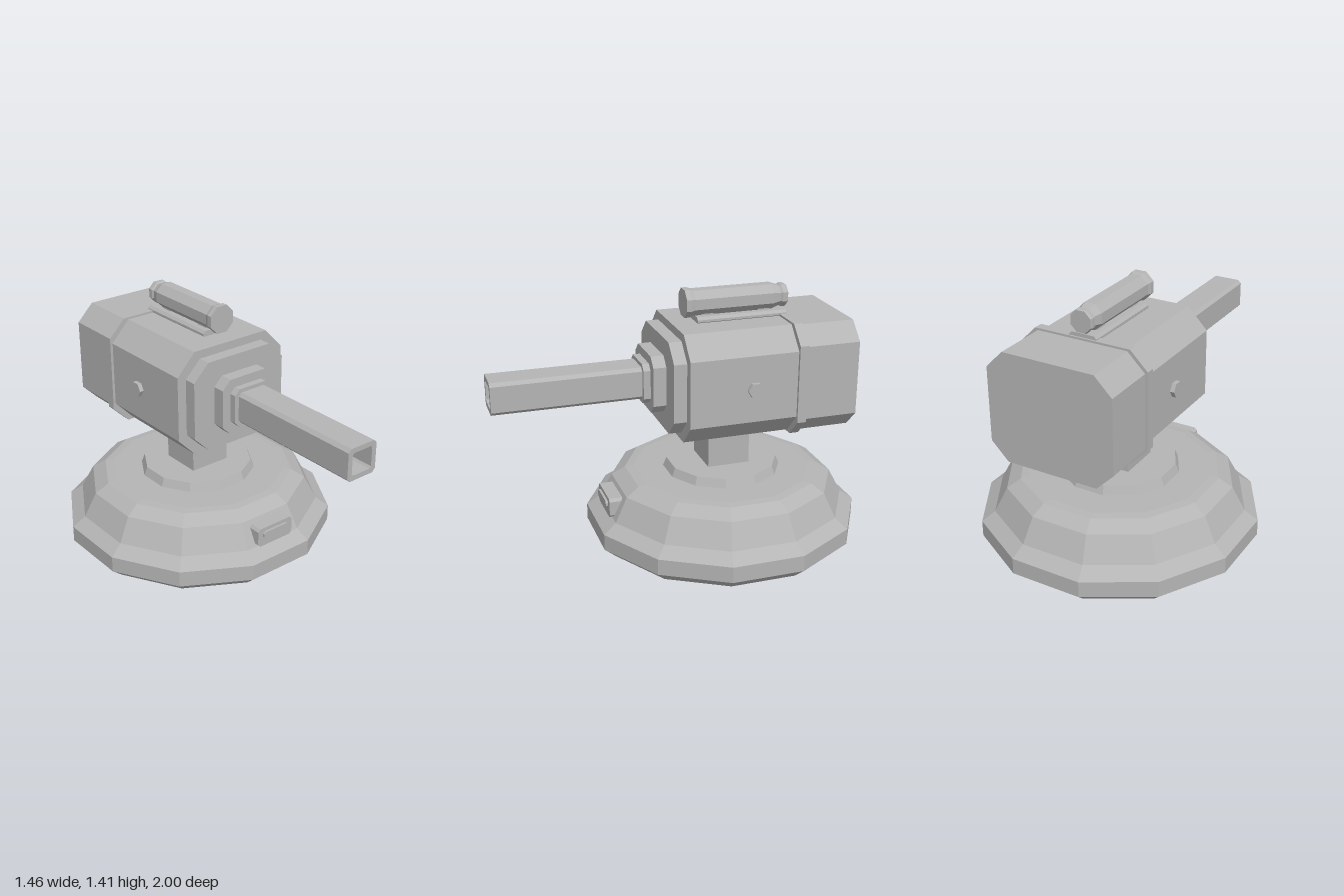
import * as THREE from 'three';

const CY = 0.945; // height of the gun axis
const BASE_Z = -0.27; // centre of the base

// Rectangle outline with cut corners
function cutRect(Path, w, h, c, cy = c) {
  const p = new Path();
  p.moveTo(w - c, -h);
  p.lineTo(w, -h + cy);
  p.lineTo(w, h - cy);
  p.lineTo(w - c, h);
  p.lineTo(-w + c, h);
  p.lineTo(-w, h - cy);
  p.lineTo(-w, -h + cy);
  p.lineTo(-w + c, -h);
  p.closePath();
  return p;
}

export function createModel() {
  const root = new THREE.Group();
  root.name = 'turret';
  const grey = new THREE.MeshStandardMaterial({ color: 0xb4b4b4, flatShading: true });
  grey.name = 'grey';

  function add(name, geometry, x = 0, y = 0, z = 0, parent = root) {
    const mesh = new THREE.Mesh(geometry, grey);
    mesh.name = name;
    mesh.position.set(x, y, z);
    parent.add(mesh);
    return mesh;
  }

  // Cut-corner prism running from z0 to z1, with half sizes w and h
  function prism(name, w, h, c, z0, z1, y = CY, cy = c, hole = null) {
    const shape = cutRect(THREE.Shape, w, h, c, cy);
    if (hole) shape.holes.push(hole);
    const g = new THREE.ExtrudeGeometry(shape, { depth: z1 - z0, bevelEnabled: false });
    return add(name, g, 0, y, z0);
  }

  // Faceted turned part; radii are measured to the flats
  function turned(points, sides) {
    const k = 1 / Math.cos(Math.PI / sides);
    const pts = points.map(([r, y]) => new THREE.Vector2(r * k, y));
    return new THREE.LatheGeometry(pts, sides, Math.PI / sides);
  }

  // Twelve-sided base with its raised disc
  add('base', turned([
    [0, 0], [0.66, 0], [0.73, 0.063], [0.73, 0.152], [0.66, 0.203],
    [0.592, 0.335], [0.52, 0.38], [0.475, 0.385], [0, 0.385],
  ], 12), 0, 0, BASE_Z);
  add('baseDisc', turned([[0.315, 0.38], [0.295, 0.432], [0, 0.432]], 12), 0, 0, BASE_Z);

  // Front panel on the base
  prism('basePanel', 0.118, 0.054, 0.015, 0.3, 0.407, 0.26);
  prism('panelBar', 0.085, 0.021, 0.012, 0.4, 0.42, 0.272);

  // Post
  add('post', new THREE.BoxGeometry(0.238, 0.24, 0.235), 0, 0.545, BASE_Z);

  // Gun body, rear housing and stepped front collars
  prism('body', 0.347, 0.295, 0.11, -0.57, 0.03, CY, 0.115);
  prism('bodyBand', 0.362, 0.306, 0.095, -0.61, -0.56);
  prism('rearHousing', 0.347, 0.295, 0.095, -0.905, -0.6);
  prism('frontCollarLarge', 0.295, 0.25, 0.092, 0.02, 0.1);
  prism('frontCollarMiddle', 0.166, 0.155, 0.05, 0.09, 0.17);
  prism('frontCollarSmall', 0.116, 0.107, 0.03, 0.16, 0.208);

  // Hollow barrel
  prism('barrel', 0.092, 0.087, 0.018, 0.2, 1, CY, 0.018,
    cutRect(THREE.Path, 0.064, 0.06, 0.01));

  // Hexagonal bolts on both sides
  for (const s of [1, -1]) {
    const g = new THREE.CylinderGeometry(0.042, 0.042, 0.04, 6);
    g.rotateZ(Math.PI / 2);
    add(s > 0 ? 'leftBolt' : 'rightBolt', g, s * 0.35, CY, -0.32);
  }

  // Sight rail, feet and eight-sided sight tube
  prism('sightRail', 0.077, 0.02, 0.014, -0.6, -0.1, 1.25);
  for (const z of [-0.17, -0.485]) {
    add('sightFoot', new THREE.BoxGeometry(0.07, 0.04, 0.07), 0, 1.275, z);
  }
  const tube = turned([
    [0, -0.615], [0.056, -0.615], [0.06, -0.605], [0.06, -0.585], [0.053, -0.575],
    [0.067, -0.53], [0.067, -0.09], [0.074, -0.07], [0.074, -0.042], [0, -0.042],
  ], 8);
  tube.rotateX(Math.PI / 2);
  add('sightTube', tube, 0, 1.337, 0);

  return root;
}
